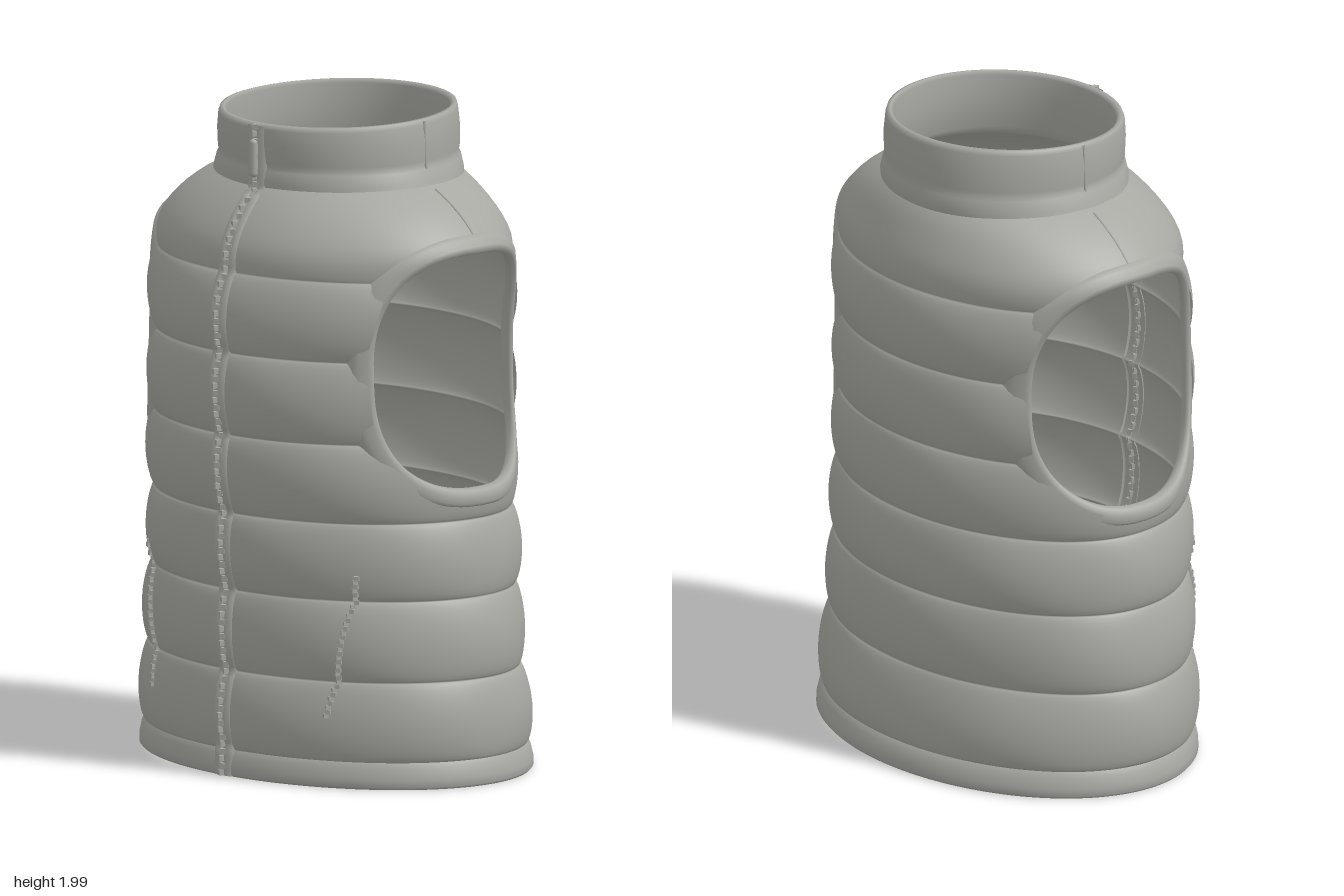
import * as THREE from 'three';
import { mergeVertices, mergeGeometries } from 'three/addons/utils/BufferGeometryUtils.js';

const fabric = new THREE.MeshStandardMaterial({ color: 0xa8a8a3, side: THREE.DoubleSide });
fabric.name = 'warm grey fabric';

const Z0 = -0.02; // depth at which every cross-section is widest
const SEAMS = [0.09, 0.33, 0.575, 0.81, 1.05, 1.3, 1.54, 1.8];
// rows: height, half width, front depth, back depth
const BODY = [
  [0.0, 0.66, 0.455, 0.49], [0.09, 0.655, 0.45, 0.48], [0.33, 0.64, 0.44, 0.445], [0.575, 0.62, 0.44, 0.44],
  [0.81, 0.605, 0.45, 0.435], [1.05, 0.595, 0.465, 0.44], [1.3, 0.585, 0.468, 0.445],
  [1.54, 0.59, 0.445, 0.445], [1.62, 0.58, 0.425, 0.435], [1.7, 0.515, 0.38, 0.41],
  [1.76, 0.435, 0.335, 0.39], [1.8, 0.365, 0.3, 0.37],
];
const COLLAR = [
  [1.77, 0.395, 0.32, 0.385], [1.8, 0.385, 0.325, 0.395], [1.835, 0.373, 0.32, 0.391], [1.845, 0.364, 0.314, 0.386],
  [1.86, 0.367, 0.32, 0.389], [1.92, 0.367, 0.325, 0.39], [1.97, 0.36, 0.325, 0.386], [1.984, 0.355, 0.32, 0.382],
  [1.986, 0.345, 0.308, 0.37], [1.975, 0.338, 0.296, 0.36], [1.9, 0.34, 0.297, 0.362], [1.8, 0.346, 0.3, 0.366],
  [1.77, 0.38, 0.31, 0.38],
];
const HEM = [
  [0.095, 0.65, 0.445, 0.475], [0.03, 0.632, 0.428, 0.465], [0.012, 0.64, 0.436, 0.475], [0.01, 0.665, 0.458, 0.498],
  [0.018, 0.672, 0.466, 0.505], [0.04, 0.672, 0.466, 0.504], [0.075, 0.664, 0.46, 0.495], [0.092, 0.652, 0.448, 0.478],
];
const spline = new THREE.CubicInterpolant(
  new Float32Array(BODY.map(r => r[0])), new Float32Array(BODY.flatMap(r => r.slice(1))), 3);

// Smooth body section at a height, without quilting
const base = y => [...spline.evaluate(y)];

// Quilted bulge between neighbouring seams
function puff(y, angle = 0) {
  for (let i = 0; i < 7; i++) {
    if (y < SEAMS[i] || y > SEAMS[i + 1]) continue;
    const t = (y - SEAMS[i]) / (SEAMS[i + 1] - SEAMS[i]);
    const size = (i === 6 ? 0.016 : 0.026) * (1 + 0.1 * Math.sin(7 * angle + 3 * i));
    return size * Math.pow(Math.max(0, Math.sin(Math.PI * t)), 0.6);
  }
  return 0;
}

// Point on an oval that has separate front and back depths
function oval([a, front, back], angle, y) {
  const c = Math.cos(angle);
  return new THREE.Vector3(a * Math.sin(angle), y, Z0 + c * (c > 0 ? front - Z0 : back + Z0));
}

// Side surface x for a given height and depth
function sideX(y, z) {
  const [a, front, back] = base(Math.min(y, 1.8));
  const d = (z - Z0) / (z > Z0 ? front - Z0 : back + Z0);
  return a * Math.sqrt(Math.max(0, 1 - d * d));
}

// Front surface z for a given x and height, carrying on up the collar
function frontZ(x, y) {
  let a, front;
  if (y < 0.09) [a, front] = [0.67, 0.464];
  else if (y < 1.765) [a, front] = base(y).map(v => v + puff(y));
  else [a, front] = [0.37, 0.323];
  return Z0 + (front - Z0) * Math.sqrt(1 - (x / a) ** 2);
}

function smooth(points, index) {
  const g = new THREE.BufferGeometry().setFromPoints(points);
  if (index) g.setIndex(index);
  const merged = mergeVertices(g, 1e-5);
  merged.computeVertexNormals();
  return merged;
}

// Grid surface from a rule (i along, j across)
function sheet(nu, nv, rule) {
  const points = [], index = [];
  for (let j = 0; j <= nv; j++) for (let i = 0; i <= nu; i++) points.push(rule(i, j));
  for (let j = 0; j < nv; j++) for (let i = 0; i < nu; i++) {
    const p = j * (nu + 1) + i, q = p + nu + 1;
    index.push(p, p + 1, q + 1, p, q + 1, q);
  }
  return smooth(points, index);
}

// Armhole outline in the side plane
const HOLE = { z: -0.004, y: 1.258, w: 0.3, h: 0.355, n: 2.7 };
const holeValue = p => Math.abs((p.z - HOLE.z) / HOLE.w) ** HOLE.n
  + Math.abs((p.y - HOLE.y) / HOLE.h) ** HOLE.n - 1.06 ** HOLE.n;

// Quilted body with both armholes trimmed out
function bodyGeometry() {
  const heights = [];
  for (let b = 0; b < 7; b++) for (let k = b ? 1 : 0; k <= 16; k++)
    heights.push(SEAMS[b] + (SEAMS[b + 1] - SEAMS[b]) * (1 - Math.cos(Math.PI * k / 16)) / 2);
  const N = 160, out = [];
  const rows = heights.map(y => Array.from({ length: N + 1 }, (_, i) => {
    const angle = (i % N) / N * Math.PI * 2, bulge = puff(y, angle);
    return oval(base(y).map(v => v + bulge), angle, y);
  }));
  const clip = tri => {
    const poly = [];
    tri.forEach((p, k) => {
      const q = tri[(k + 1) % 3], a = holeValue(p), b = holeValue(q);
      if (a >= 0) poly.push(p);
      if (a * b < 0) poly.push(p.clone().lerp(q, a / (a - b)));
    });
    for (let k = 1; k + 1 < poly.length; k++) out.push(poly[0], poly[k], poly[k + 1]);
  };
  for (let j = 0; j + 1 < rows.length; j++) for (let i = 0; i < N; i++) {
    clip([rows[j][i], rows[j][i + 1], rows[j + 1][i + 1]]);
    clip([rows[j][i], rows[j + 1][i + 1], rows[j + 1][i]]);
  }
  return smooth(out);
}

// Closed oval band from profile rows; lean tips the upper rim down at the front
function band(profile, lean = 0) {
  return sheet(128, profile.length - 1, (i, j) => {
    const [y, ...section] = profile[j];
    const p = oval(section, (i % 128) / 128 * Math.PI * 2, y);
    p.y -= p.z * lean * Math.max(0, y - 1.8) / 0.18;
    return p;
  });
}

// Wide rolled edging around an armhole: scale and lift across the strip
function armBinding(side) {
  const strip = [[1.16, -0.004], [1.145, 0.02], [1.12, 0.027], [1.06, 0.029], [1.01, 0.022], [0.99, 0.002], [1.02, -0.018]];
  return sheet(96, strip.length - 1, (i, j) => {
    const t = (i % 96) / 96 * Math.PI * 2 * side, [s, lift] = strip[j];
    const bend = v => Math.sign(v) * Math.abs(v) ** (2 / HOLE.n);
    const z = HOLE.z + HOLE.w * s * bend(Math.cos(t)), y = HOLE.y + HOLE.h * s * bend(Math.sin(t));
    return new THREE.Vector3(side * (sideX(y, z) + lift), y, z);
  });
}

// Row of small interlocking teeth along a path
function teeth(count, size, path) {
  const parts = [];
  for (let i = 0; i < count; i++) {
    const p = path(i / (count - 1));
    const g = new THREE.BoxGeometry(size, size * 0.9, size);
    g.rotateY(0.5 * (i % 2 ? 1 : -1));
    parts.push(g.translate(p.x + size * 0.2 * (i % 2 ? 1 : -1), p.y, p.z));
  }
  return mergeGeometries(parts);
}

function tube(radius, steps, path) {
  const pts = Array.from({ length: steps + 1 }, (_, i) => path(i / steps));
  return new THREE.TubeGeometry(new THREE.CatmullRomCurve3(pts), steps * 2, radius, 6);
}

export function createModel() {
  const vest = new THREE.Group();
  vest.name = 'quiltedVest';
  const add = (name, geometry) => {
    const mesh = new THREE.Mesh(geometry, fabric);
    mesh.name = name;
    vest.add(mesh);
  };
  const onFront = (x, y, lift = 0) => new THREE.Vector3(x, y, frontZ(x, y) + lift);

  add('quiltedBody', bodyGeometry());
  add('hem', band(HEM));
  add('collar', band(COLLAR, 0.035));

  // Front closure
  add('zipperTeeth', teeth(90, 0.018, t => onFront(0, 0.02 + 1.945 * t, 0.004)));
  add('zipperPull', new THREE.CapsuleGeometry(0.014, 0.09, 4, 10).translate(0, 1.87, 0.334));

  for (const side of [1, -1]) {
    const hand = side > 0 ? 'left' : 'right';
    const strip = [[0.006, -0.002], [0.01, 0.007], [0.03, 0.006], [0.037, -0.006]];
    add(hand + 'Placket', sheet(130, 3, (i, j) =>
      onFront(side * strip[j][0], 0.012 + 1.957 * i / 130, strip[j][1])));
    add(hand + 'ArmholeBinding', armBinding(side));
    add(hand + 'PocketZipper', teeth(34, 0.015, t => onFront(side * (0.36 + 0.07 * t), 0.23 + 0.42 * t, 0.001)));
    // Shoulder and collar side seams
    add(hand + 'ShoulderSeam', tube(0.004, 12, t => {
      const y = 1.66 + 0.12 * t;
      return new THREE.Vector3(side * (sideX(y, -0.025) + puff(y)), y, -0.025);
    }));
    add(hand + 'CollarSeam', tube(0.004, 6, t => new THREE.Vector3(side * (0.369 - 0.008 * t), 1.83 + 0.15 * t, -0.025)));
  }
  return vest;
}
